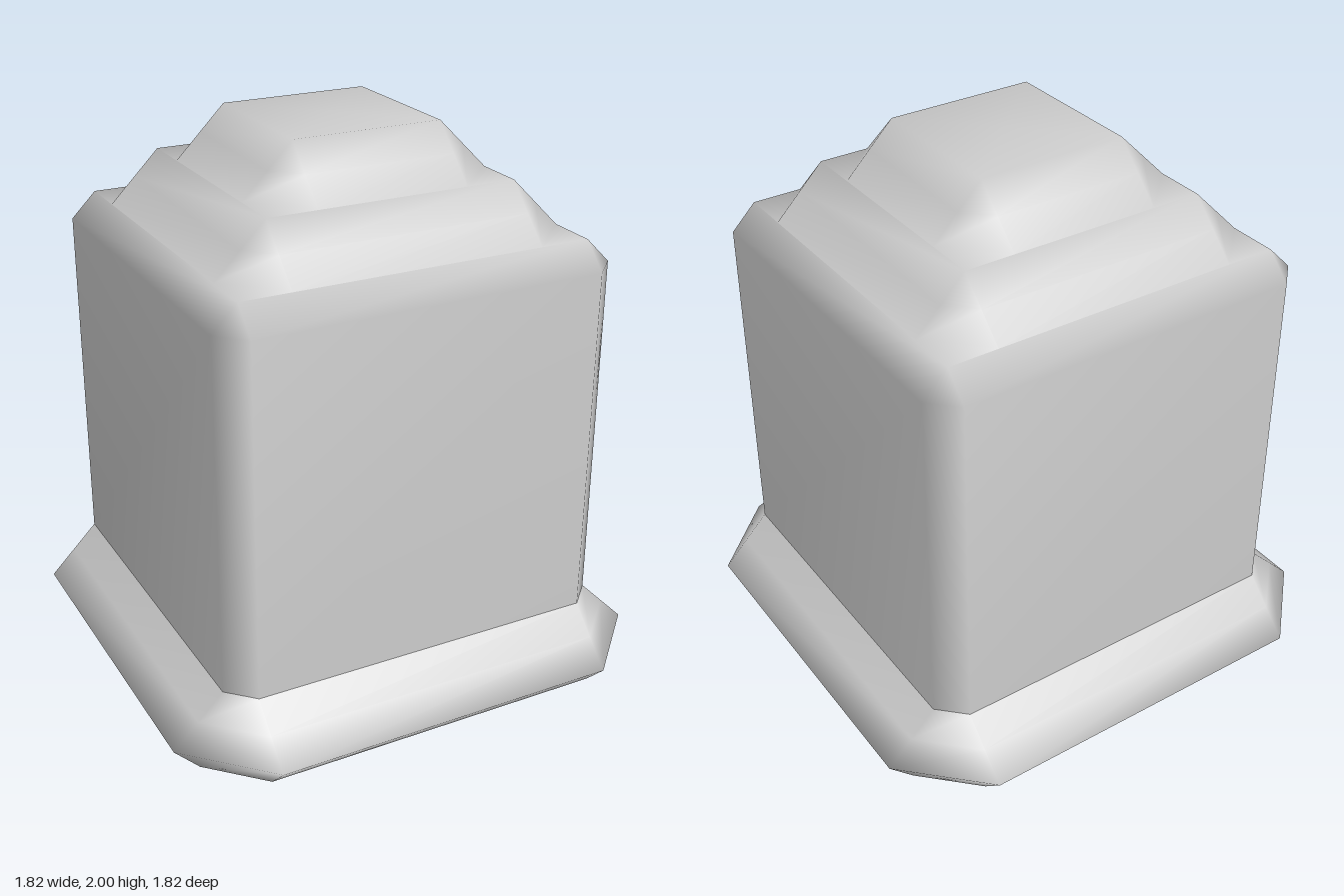
import * as THREE from 'three';
import { mergeVertices } from 'three/addons/utils/BufferGeometryUtils.js';

const U = 1 / 11; // half of one grid step; all sizes are multiples of it

// Octagonal ring: reach a on each side, with flats running from -c to c.
function ring([y, a, c]) {
  return [[a, c], [c, a], [-c, a], [-a, c], [-a, -c], [-c, -a], [c, -a], [a, -c]]
    .map(([x, z]) => [x * U, y * U, z * U]);
}

// Loft rings from bottom to top, weld shared corners and drop empty triangles.
function loft(profile) {
  const rings = profile.map(ring);
  const index = [];
  for (let r = 0; r < rings.length - 1; r++) {
    for (let i = 0; i < 8; i++) {
      const j = (i + 1) % 8;
      const li = r * 8 + i, lj = r * 8 + j;
      index.push(li, li + 8, lj, lj, li + 8, lj + 8);
    }
  }
  let geo = new THREE.BufferGeometry();
  geo.setAttribute('position', new THREE.Float32BufferAttribute(rings.flat(2), 3));
  geo.setIndex(index);
  geo = mergeVertices(geo, 1e-4);
  const src = geo.index.array, kept = [];
  for (let k = 0; k < src.length; k += 3) {
    const [p, q, s] = [src[k], src[k + 1], src[k + 2]];
    if (p !== q && q !== s && s !== p) kept.push(p, q, s);
  }
  geo.setIndex(kept);
  geo.computeVertexNormals();
  return geo;
}

export function createModel() {
  const model = new THREE.Group();
  const material = new THREE.MeshStandardMaterial({ color: 0xcccccc });
  const add = (name, profile) => {
    const mesh = new THREE.Mesh(loft(profile), material);
    mesh.name = name;
    model.add(mesh);
  };

  // Flared foot with a closed underside: [height, reach, flat half-length]
  add('base', [[0, 0, 0], [0, 9, 7], [1, 10, 7], [2, 9, 7], [3, 8, 7]]);

  // Chamfered block with a stepped roof; each step leaves a small ledge at its corners
  add('bodyAndRoof', [
    [3, 8, 7], [17, 8, 7], [18, 7, 7],
    [18, 7, 5], [19, 6, 5], [20, 5, 5],
    [20, 5, 3], [21, 4, 3], [22, 3, 3],
    [22, 0, 0],
  ]);
  return model;
}
